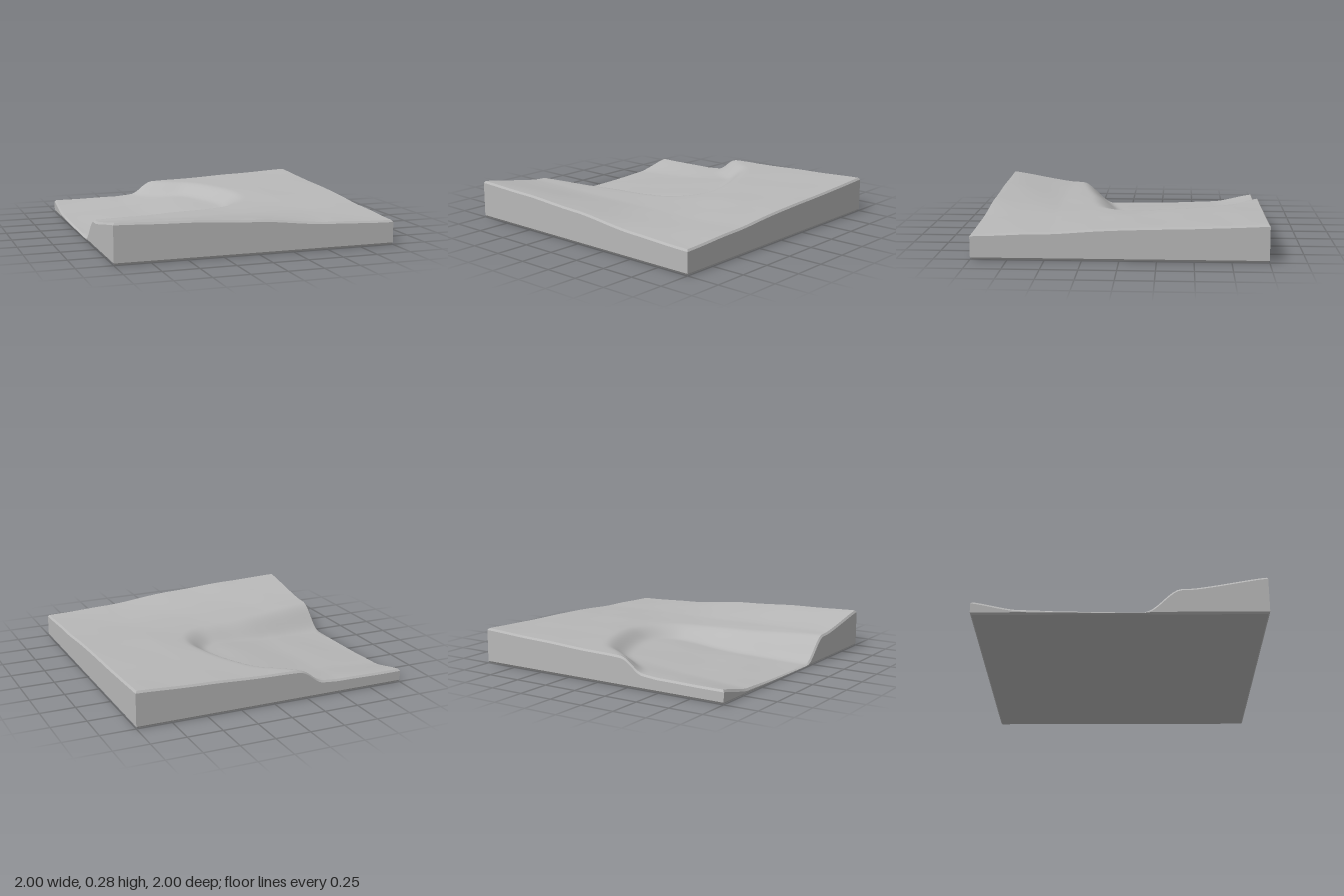
import * as THREE from 'three';
import { toCreasedNormals } from 'three/addons/utils/BufferGeometryUtils.js';

const { lerp, clamp, smoothstep } = THREE.MathUtils;

// Coarse heights of the upland and of the valley floor: rows run along z, columns along x
const UPLAND = {
  xs: [-1, -0.5, 0, 0.5, 1],
  zs: [-1, -0.5, 0, 0.5, 1],
  rows: [
    [0.2, 0.2, 0.215, 0.237, 0.257],
    [0.2, 0.2, 0.207, 0.225, 0.238],
    [0.17, 0.17, 0.183, 0.212, 0.222],
    [0.195, 0.19, 0.188, 0.188, 0.192],
    [0.275, 0.262, 0.235, 0.19, 0.172],
  ],
};
const VALLEY = {
  xs: [-1, -0.5, 0, 0.4],
  zs: [-1, -0.7, -0.2, 0.2],
  rows: [
    [0.095, 0.1, 0.15, 0.2],
    [0.035, 0.07, 0.13, 0.18],
    [0.02, 0.06, 0.115, 0.15],
    [0.014, 0.045, 0.095, 0.14],
  ],
};

// Rim of the valley, from the left-hand edge round its head to the back edge
const RIM = new THREE.CatmullRomCurve3(
  [
    [-1.3, 0.46], [-1, 0.42], [-0.7, 0.36], [-0.4, 0.29], [-0.1, 0.25], [0.12, 0.18],
    [0.24, 0.04], [0.29, -0.15], [0.27, -0.35], [0.18, -0.62], [0.06, -0.82],
    [-0.1, -0.93], [-0.2, -1.02], [-0.28, -1.3],
  ].map(([x, z]) => new THREE.Vector3(x, 0, z)),
).getPoints(70);

// Smoothed interpolation in a coarse height grid
function sample({ xs, zs, rows }, x, z) {
  const locate = (list, v) => {
    let i = 0;
    while (i < list.length - 2 && v > list[i + 1]) i++;
    const t = clamp((v - list[i]) / (list[i + 1] - list[i]), 0, 1);
    return [i, lerp(t, t * t * (3 - 2 * t), 0.35)];
  };
  const [i, u] = locate(xs, x);
  const [j, v] = locate(zs, z);
  return lerp(lerp(rows[j][i], rows[j][i + 1], u), lerp(rows[j + 1][i], rows[j + 1][i + 1], u), v);
}

// Distance into the valley from its rim, zero on the upland
function valleyDepth(x, z) {
  let best = Infinity;
  let inside = false;
  const outline = [...RIM, { x: -1.3, z: -1.3 }];
  outline.forEach((a, i) => {
    const b = outline[(i + 1) % outline.length];
    if (a.z > z !== b.z > z && x < a.x + ((z - a.z) * (b.x - a.x)) / (b.z - a.z)) inside = !inside;
    if (i >= RIM.length - 1) return;
    const dx = b.x - a.x;
    const dz = b.z - a.z;
    const t = clamp(((x - a.x) * dx + (z - a.z) * dz) / (dx * dx + dz * dz), 0, 1);
    best = Math.min(best, Math.hypot(x - a.x - t * dx, z - a.z - t * dz));
  });
  return inside ? best : 0;
}

function groundHeight(x, z) {
  // The scarp on the far side is steeper than the near slope
  const width = lerp(0.16, 0.26, smoothstep(z, -0.2, 0.2));
  const blend = smoothstep(valleyDepth(x, z), 0, width);
  const ripple = 0.0015 * Math.sin(9 * x + 4 * z) * Math.sin(11 * z - 3 * x);
  return lerp(sample(UPLAND, x, z), sample(VALLEY, x, z), blend) + ripple;
}

export function createModel() {
  const stone = new THREE.MeshStandardMaterial({ color: 0xb8b8b8 });
  stone.name = 'grey stone';

  // Square block whose top follows the ground, with small bevels above and below
  const geometry = new THREE.BoxGeometry(2, 3, 2, 72, 3, 72);
  const position = geometry.attributes.position;
  for (let i = 0; i < position.count; i++) {
    const x = position.getX(i);
    const z = position.getZ(i);
    const level = Math.round(position.getY(i) + 1.5);
    const h = groundHeight(x, z);
    const bevel = Math.min(0.014, h * 0.4);
    const y = [0, bevel, h - bevel, h][level];
    const inset = level === 0 || level === 3 ? 0.989 : 1;
    position.setXYZ(i, x * inset, y, z * inset);
  }
  const terrain = new THREE.Mesh(toCreasedNormals(geometry, 0.5), stone);
  terrain.name = 'terrainTile';

  const group = new THREE.Group();
  group.name = 'terrain';
  group.add(terrain);
  return group;
}
